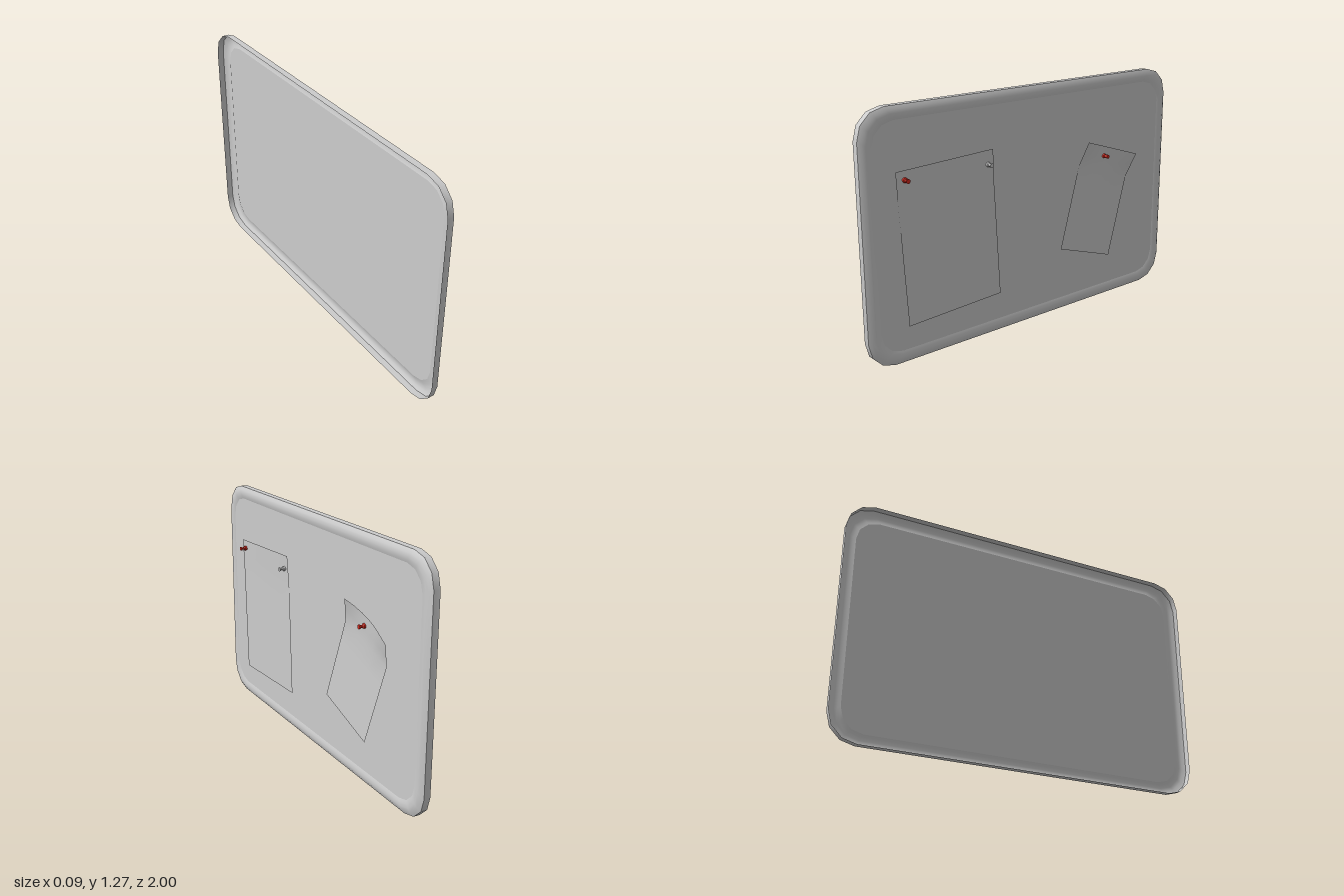
import * as THREE from 'three';
import { toCreasedNormals } from 'three/addons/utils/BufferGeometryUtils.js';

const HEIGHT = 1.272, HALF = 1;

function material(name, color, side = THREE.FrontSide) {
  const m = new THREE.MeshStandardMaterial({ color, side });
  m.name = name;
  return m;
}

// Surface through a grid of points; rows may close into rings
function skin(rows, closed) {
  const n = rows[0].length, index = [];
  for (let i = 0; i < rows.length - 1; i++) {
    for (let j = 0; j < (closed ? n : n - 1); j++) {
      const a = i * n + j, b = i * n + (j + 1) % n;
      index.push(a, b, b + n, a, b + n, a + n);
    }
  }
  const g = new THREE.BufferGeometry();
  g.setAttribute('position', new THREE.Float32BufferAttribute(rows.flat(2), 3));
  g.setIndex(index);
  g.computeVertexNormals();
  return g;
}

// Rounded rectangle facing +x, three steps per corner
function ring(inset, x) {
  const r = 0.145 - inset * 0.4, points = [];
  const w = HALF - inset - r, h = HEIGHT / 2 - inset - r;
  for (let c = 0; c < 4; c++) {
    const su = c === 0 || c === 3 ? 1 : -1, sv = c < 2 ? 1 : -1;
    for (let k = 0; k <= 3; k++) {
      const a = (c + k / 3) * Math.PI / 2;
      points.push([x, HEIGHT / 2 + sv * h + r * Math.sin(a), -(su * w + r * Math.cos(a))]);
    }
  }
  return points;
}

// Sheet from its top left, top right and bottom left corners [z, y];
// lift(u, v) is its distance in front of the board
function sheet(name, tl, tr, bl, lift, mat) {
  const rows = [];
  for (const v of [1, 0.8, 0.6, 0.4, 0.23, 0.12, 0]) {
    const row = [];
    for (let k = 0; k <= 6; k++) {
      const u = k / 6;
      const at = i => tl[i] + (tr[i] - tl[i]) * u + (bl[i] - tl[i]) * v;
      row.push([lift(u, v), at(1), at(0)]);
    }
    rows.push(row);
  }
  const mesh = new THREE.Mesh(skin(rows, false), mat);
  mesh.name = name;
  return mesh;
}

export function createModel() {
  const group = new THREE.Group();
  group.name = 'noticeBoard';
  const grey = material('light grey', 0xcccccc, THREE.DoubleSide);
  const red = material('red', 0xd42a1e);
  const pinGrey = material('pin grey', 0xc8c8c8);

  // Raised rim, open at the back
  const profile = [[0, -0.046], [0, -0.011], [0.018, 0], [0.035, 0.003], [0.052, 0.001], [0.066, -0.004]];
  const rim = new THREE.Mesh(toCreasedNormals(skin(profile.map(p => ring(...p)), true), 0.7), grey);
  rim.name = 'rim';
  group.add(rim);

  // Flat panel inside the rim
  const edge = ring(0.066, -0.004);
  const outline = new THREE.Shape(edge.map(([, y, z]) => new THREE.Vector2(-z, y)));
  const panel = new THREE.Mesh(new THREE.ShapeGeometry(outline), grey);
  panel.name = 'panel';
  panel.rotation.y = Math.PI / 2;
  panel.position.x = -0.004;
  group.add(panel);

  // Large sheet, nearly flat
  group.add(sheet('largeSheet', [0.82, 0.965], [0.26, 0.99], [0.78, 0.187],
    (u, v) => v < 0.23 ? 0.002 + 0.007 * (1 - v / 0.23) * (0.3 + 0.7 * u) : 0.002 + 0.004 * (v - 0.23), grey));

  // Small tilted sheet, its top corners curling away from the board
  group.add(sheet('smallSheet', [-0.37, 0.93], [-0.735, 0.812], [-0.185, 0.362],
    (u, v) => {
      if (v > 0.23) return 0.002 + 0.02 * (v - 0.23) / 0.77;
      const side = Math.abs(u - 0.45) / 0.5;
      return 0.002 + (1 - v / 0.23) * (0.008 + 0.03 * Math.min(1, side * side));
    }, grey));

  // Push pins: wide foot, narrow waist, flat head
  const pinProfile = [[0, 0], [0.011, 0], [0.013, 0.005], [0.012, 0.013], [0.007, 0.017],
    [0.007, 0.027], [0.011, 0.031], [0.011, 0.038], [0, 0.038]].map(p => new THREE.Vector2(...p));
  const pinGeometry = toCreasedNormals(new THREE.LatheGeometry(pinProfile, 12), 0.6);
  for (const [name, y, z, mat] of [
    ['leftPin', 0.922, 0.775, red], ['middlePin', 0.915, 0.292, pinGrey], ['rightPin', 0.83, -0.51, red]]) {
    const pin = new THREE.Mesh(pinGeometry, mat);
    pin.name = name;
    pin.rotation.z = -Math.PI / 2;
    pin.position.set(0.004, y, z);
    group.add(pin);
  }
  return group;
}
